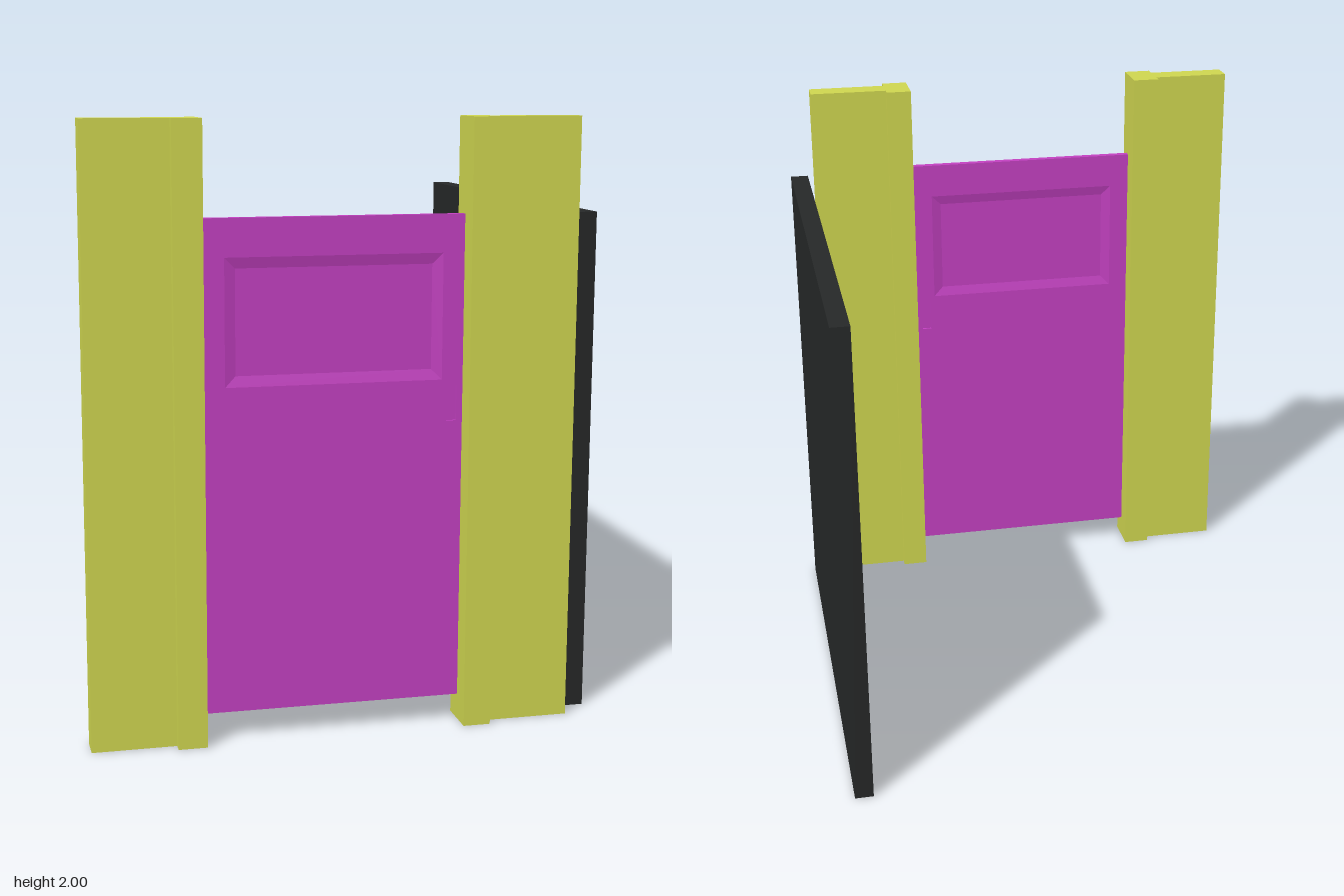
import * as THREE from 'three';

const mat = (color) => new THREE.MeshStandardMaterial({ color });
const yellow = mat(0xd0d750), purple = mat(0xc441c2), black = mat(0x262828);

const add = (parent, name, geometry, material) => {
  const mesh = new THREE.Mesh(geometry, material);
  mesh.name = name;
  parent.add(mesh);
  return mesh;
};

// Corners of a rectangle, counter-clockwise seen from +z
const rect = (cx, cy, w, h, z = 0) =>
  [[-1, -1], [1, -1], [1, 1], [-1, 1]].map(([a, b]) => new THREE.Vector3(cx + a * w / 2, cy + b * h / 2, z));

// Joins rectangles in order; optionally closes the last one
function loft(rings, cap) {
  const pts = [];
  const quad = (a, b, c, d) => pts.push(a, b, c, a, c, d);
  for (let r = 0; r < rings.length - 1; r++) {
    for (let i = 0; i < 4; i++) {
      const j = (i + 1) % 4;
      quad(rings[r][i], rings[r][j], rings[r + 1][j], rings[r + 1][i]);
    }
  }
  if (cap) quad(...rings[rings.length - 1]);
  const geometry = new THREE.BufferGeometry().setFromPoints(pts);
  geometry.computeVertexNormals();
  return geometry;
}

// Wall post with a T-shaped plan; the wide door stop is next to the opening
function post(parent, name, outer, step, inner) {
  const plan = new THREE.Shape([
    [outer, 0.738], [step, 0.738], [step, 0.707], [inner, 0.707],
    [inner, 0.853], [step, 0.853], [step, 0.818], [outer, 0.818],
  ].map(([x, z]) => new THREE.Vector2(x, -z)));
  const geometry = new THREE.ExtrudeGeometry(plan, { depth: 2, bevelEnabled: false });
  geometry.rotateX(-Math.PI / 2);
  add(parent, name, geometry, yellow);
}

function door() {
  const group = new THREE.Group();
  group.name = 'slidingDoor';
  group.position.set(-0.045, 0.892, 0.779);
  const W = 0.85, H = 1.602, half = 0.013, depth = 0.008;

  // Outer edges
  add(group, 'doorEdges', loft([rect(0, 0, W, H, -half), rect(0, 0, W, H, half)], false), purple);

  // Both faces, each with a bevelled panel and a sunken finger pull
  for (const s of [1, -1]) {
    const face = new THREE.Group();
    face.name = s > 0 ? 'doorFront' : 'doorBack';
    face.rotation.y = s > 0 ? 0 : Math.PI;
    face.position.z = s * half;
    const panel = [0, 0.473, 0.71, 0.41], pull = [s * 0.388, 0.19, 0.034, 0.115];

    const shape = new THREE.Shape(rect(0, 0, W, H));
    shape.holes.push(new THREE.Path(rect(...panel)), new THREE.Path(rect(...pull)));
    add(face, 'doorFace', new THREE.ShapeGeometry(shape), purple);
    add(face, 'recessedPanel', loft([rect(...panel), rect(0, 0.473, 0.64, 0.34, -depth)], true), purple);
    add(face, 'fingerPull', loft([rect(...pull), rect(...pull, -depth)], true), purple);
    group.add(face);
  }
  return group;
}

export function createModel() {
  const model = new THREE.Group();
  model.name = 'doorway';

  post(model, 'rightPost', -0.845, -0.57, -0.475);
  post(model, 'leftPost', 0.755, 0.476, 0.385);
  model.add(door());

  // Free-standing side panel, square to the door
  add(model, 'sidePanel', new THREE.BoxGeometry(0.063, 1.688, 1.598), black)
    .position.set(0.8135, 0.844, -0.054);

  return model;
}
